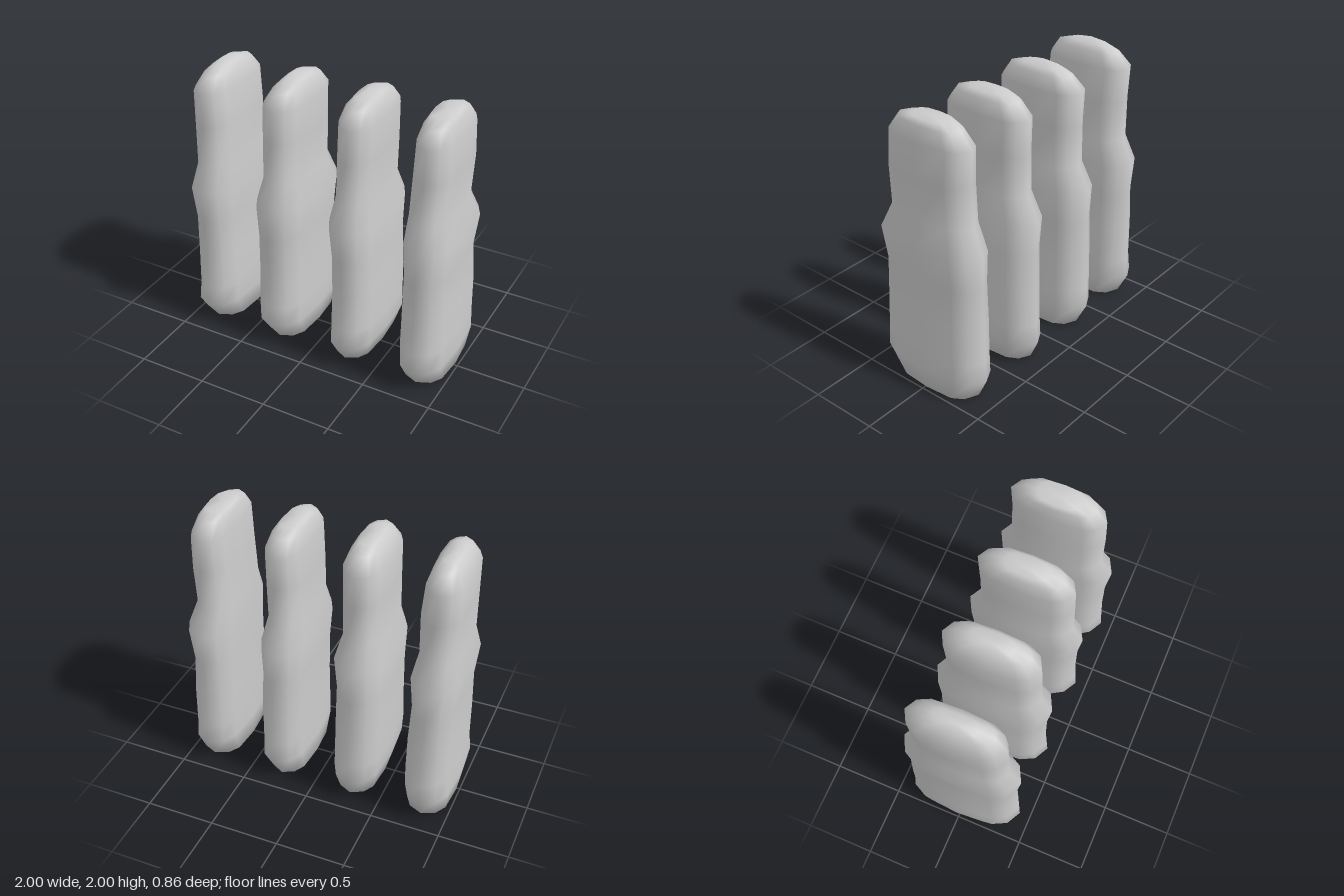
import * as THREE from 'three';

// Quarter of the pointed oval section (x, z), walked around all four quadrants
const quarter = [[0, 1], [0.6, 0.87], [0.9, 0.63], [1, 0]];
const section = [
  ...quarter,
  ...quarter.slice(0, 3).reverse().map(([x, z]) => [x, -z]),
  ...quarter.slice(1).map(([x, z]) => [-x, -z]),
  ...quarter.slice(1, 3).reverse().map(([x, z]) => [-x, z]),
];

// Shared levels: height, front z, back z
const levels = [
  [0.01, 0.31, -0.35], [0.17, 0.43, -0.43], [0.32, 0.42, -0.42], [0.6, 0.405, -0.415],
  [0.88, 0.405, -0.405], [1.12, 0.43, -0.42], [1.3, 0.35, -0.33], [1.6, 0.345, -0.33],
  [1.84, 0.335, -0.34], [1.94, 0.26, -0.25], [1.975, 0.15, -0.15],
];

// Each slab: left and right edge at every level, then its crown point
const slabs = [
  { name: 'outerRightSlab', crown: [-0.84, 2.0],
    lo: [-0.98, -1, -0.985, -0.985, -0.975, -1, -0.965, -0.965, -0.965, -0.91, -0.88],
    hi: [-0.66, -0.65, -0.645, -0.65, -0.665, -0.645, -0.68, -0.675, -0.7, -0.73, -0.77] },
  { name: 'innerRightSlab', crown: [-0.3, 2.0],
    lo: [-0.43, -0.465, -0.475, -0.47, -0.465, -0.47, -0.43, -0.425, -0.425, -0.37, -0.34],
    hi: [-0.13, -0.11, -0.11, -0.115, -0.12, -0.1, -0.145, -0.145, -0.145, -0.18, -0.21] },
  { name: 'innerLeftSlab', crown: [0.25, 1.99],
    lo: [0.12, 0.115, 0.115, 0.115, 0.115, 0.1, 0.13, 0.135, 0.14, 0.17, 0.195],
    hi: [0.4, 0.45, 0.45, 0.45, 0.435, 0.44, 0.4, 0.405, 0.4, 0.37, 0.34] },
  { name: 'outerLeftSlab', crown: [0.8, 1.98],
    lo: [0.655, 0.655, 0.65, 0.65, 0.655, 0.65, 0.66, 0.675, 0.685, 0.71, 0.725],
    hi: [0.98, 1, 0.995, 0.99, 0.97, 1, 0.94, 0.955, 0.94, 0.91, 0.89] },
];

// Loft the sections, closing the base and crown with fans
function slabGeometry({ lo, hi, crown }) {
  const n = section.length;
  const pos = [];
  const index = [];
  levels.forEach(([y, front, back], i) => {
    const cx = (lo[i] + hi[i]) / 2;
    const hx = (hi[i] - lo[i]) / 2;
    for (const [x, z] of section) {
      pos.push(cx + x * hx, y, (front + back) / 2 + z * (front - back) / 2);
    }
  });
  const base = pos.length / 3;
  pos.push((lo[0] + hi[0]) / 2, 0, 0, crown[0], crown[1], 0);
  const last = (levels.length - 1) * n;
  for (let j = 0; j < n; j++) {
    const k = (j + 1) % n;
    for (let i = 0; i < levels.length - 1; i++) {
      const a = i * n + j, b = i * n + k;
      index.push(a, b, b + n, a, b + n, a + n);
    }
    index.push(base, k, j, base + 1, last + j, last + k);
  }
  const g = new THREE.BufferGeometry();
  g.setAttribute('position', new THREE.Float32BufferAttribute(pos, 3));
  g.setIndex(index);
  g.computeVertexNormals();
  return g;
}

export function createModel() {
  const group = new THREE.Group();
  group.name = 'standingSlabs';
  const stone = new THREE.MeshStandardMaterial({ color: 0xcccccc });
  stone.name = 'paleGrey';
  for (const slab of slabs) {
    const mesh = new THREE.Mesh(slabGeometry(slab), stone);
    mesh.name = slab.name;
    group.add(mesh);
  }
  return group;
}
